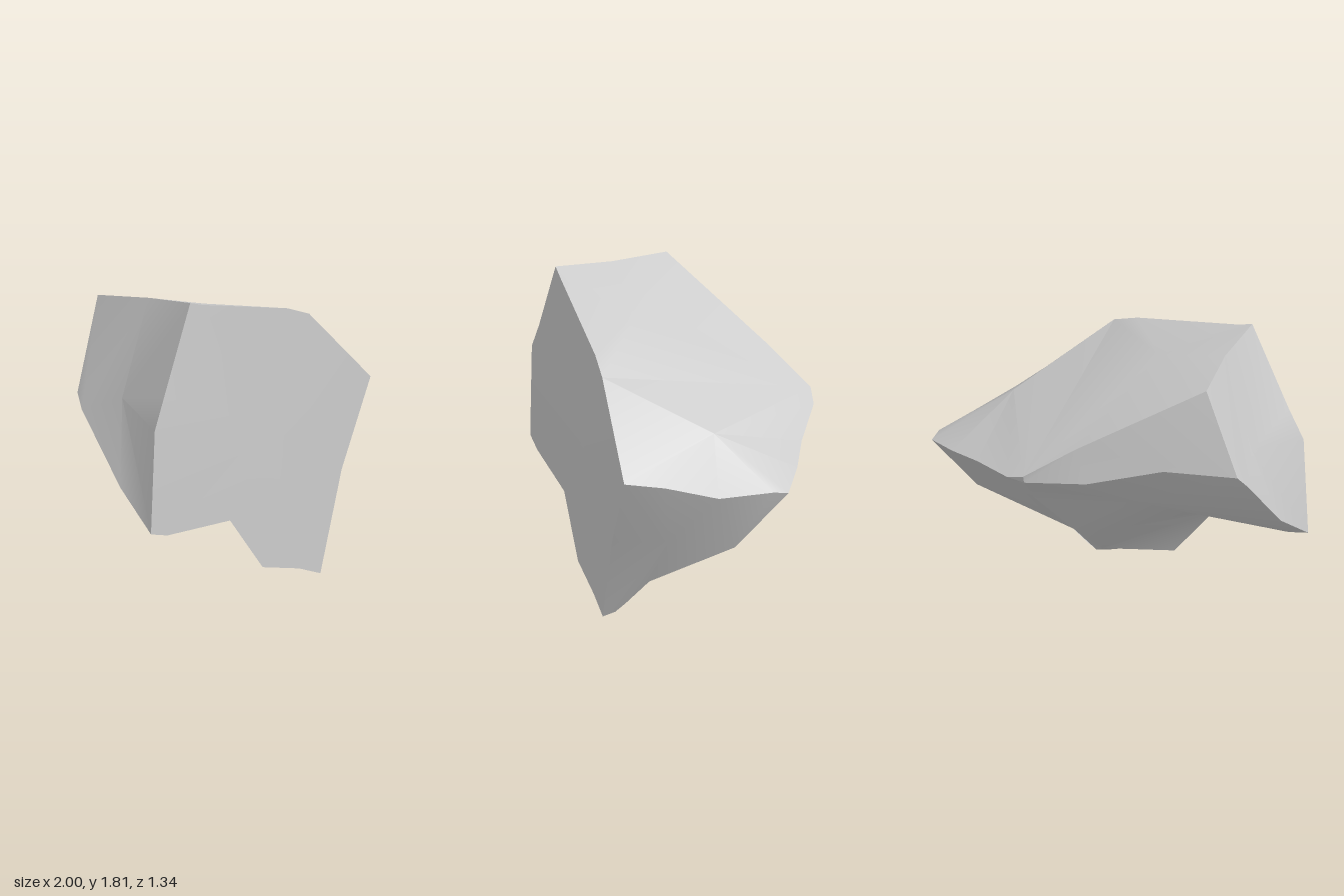
import * as THREE from 'three';
import { toCreasedNormals } from 'three/addons/utils/BufferGeometryUtils.js';

// Named corners of the rock, shared between neighbouring faces
const P = {
  // front rim
  f0: [-0.65, 1.81, 0.63], f1: [-0.88, 1.29, 0.655], f2: [-0.97, 1.1, 0.67], f3: [-1, 0.48, 0.67],
  f4: [-0.87, 0.45, 0.67], notch: [-0.37, 0.45, 0.67], f6: [-0.11, 0.12, 0.67], f7: [0.18, 0.06, 0.67],
  tip: [0.35, 0, 0.67], f9: [0.52, 0.6, 0.67], f10: [0.75, 1.12, 0.67], f11: [0.28, 1.58, 0.65],
  f12: [0.12, 1.64, 0.64], f13: [-0.55, 1.78, 0.63],
  // upper right edge and back corner
  r0: [0.82, 1.09, 0.44], r1: [0.945, 1.035, 0.15], r2: [1, 1.05, -0.17], r3: [1, 1.03, -0.26],
  b0: [0.8, 1.07, -0.38], b1: [0.58, 1.11, -0.48], b2: [0.29, 1.167, -0.65],
  b3: [0.17, 1.21, -0.67], b4: [0.17, 1.165, -0.66],
  // back ridge and left edge
  k0: [-0.09, 1.38, -0.5], k1: [-0.73, 1.735, -0.08], k2: [-0.66, 1.775, 0.28],
  // lower edge of the back band and left face
  l0: [-0.15, 1.155, -0.49], l1: [-0.54, 1.23, -0.26], l2: [-0.92, 1.184, -0.05],
  l3: [-0.95, 1.1, 0.02], l4: [-0.975, 0.7, 0.38],
  // lower right edge
  e0: [0.85, 0.63, 0.02], e1: [0.52, 0.29, 0.44], e2: [0.41, 0.1, 0.55], e3: [0.37, 0.03, 0.6],
  // edge between underside and back right face
  u0: [0.23, 0.93, -0.42], u1: [0.13, 0.61, -0.14], u2: [0.17, 0.245, 0.3],
  // fold inside the underside
  c1: [-0.5, 0.7, 0.24], c2: [0.05, 0.48, 0.12],
  // face middles
  mFront: [-0.05, 0.95, 0.66], mRight: [0.7, 0.65, 0.38], mLeft: [-0.85, 1.2, 0.26],
  mBack: [0.57, 0.92, -0.31], mUnder: [-0.3, 0.9, -0.14],
  mTop: [-0.22, 1.66, 0.28], mSlope: [0.64, 1.295, 0.08],
};

// Each face is a fan: hub corner, then its rim anticlockwise; closed when the hub lies inside the rim
const FACES = [
  ['mFront', 'f0 f1 f2 f3 f4 notch f6 f7 tip f9 f10 f11 f12 f13', true],
  // top: flatter left part, steeper right part
  ['mTop', 'f0 f13 f12 f11 b3 k0 k1 k2', true],
  ['mSlope', 'f11 f10 r0 r1 r2 r3 b0 b1 b2 b3', true],
  // right side and its back corner
  ['mRight', 'f10 f9 tip e3 e2 e1 e0 r1 r0', true],
  ['e0', 'r3 r2 r1', false],
  // left side and the strip beside the back band
  ['mLeft', 'f0 k2 l3 l4 f3 f2 f1', true],
  ['l3', 'k2 k1 l2', false],
  // back band and the blunt back corner
  ['k0', 'b3 b4 l0 l1 l2 k1', false],
  ['b4', 'b3 b2', false],
  // back right face, upper and lower
  ['mBack', 'b4 b2 b1 b0 r3 e0 u1 u0', true],
  ['e1', 'e2 e3 u2 u1 e0', false],
  // underside, the patch behind the notch, and the lower lobe
  ['mUnder', 'c1 f4 f3 l4 l3 l2 l1 l0 b4 u0 u1 c2', true],
  ['notch', 'f4 c1 c2', false],
  ['u2', 'e3 tip f7 f6 notch c2 u1', false],
];

export function createModel() {
  const positions = [];
  for (const [hub, rimNames, closed] of FACES) {
    const rim = rimNames.split(' ');
    if (closed) rim.push(rim[0]);
    for (let i = 0; i < rim.length - 1; i++) {
      positions.push(...P[hub], ...P[rim[i]], ...P[rim[i + 1]]);
    }
  }
  const geometry = new THREE.BufferGeometry();
  geometry.setAttribute('position', new THREE.Float32BufferAttribute(positions, 3));

  const rock = new THREE.Mesh(
    toCreasedNormals(geometry, 0.55),
    new THREE.MeshStandardMaterial({ color: 0xcccccc }),
  );
  rock.name = 'rockFragment';

  const group = new THREE.Group();
  group.name = 'rock';
  group.add(rock);
  return group;
}
